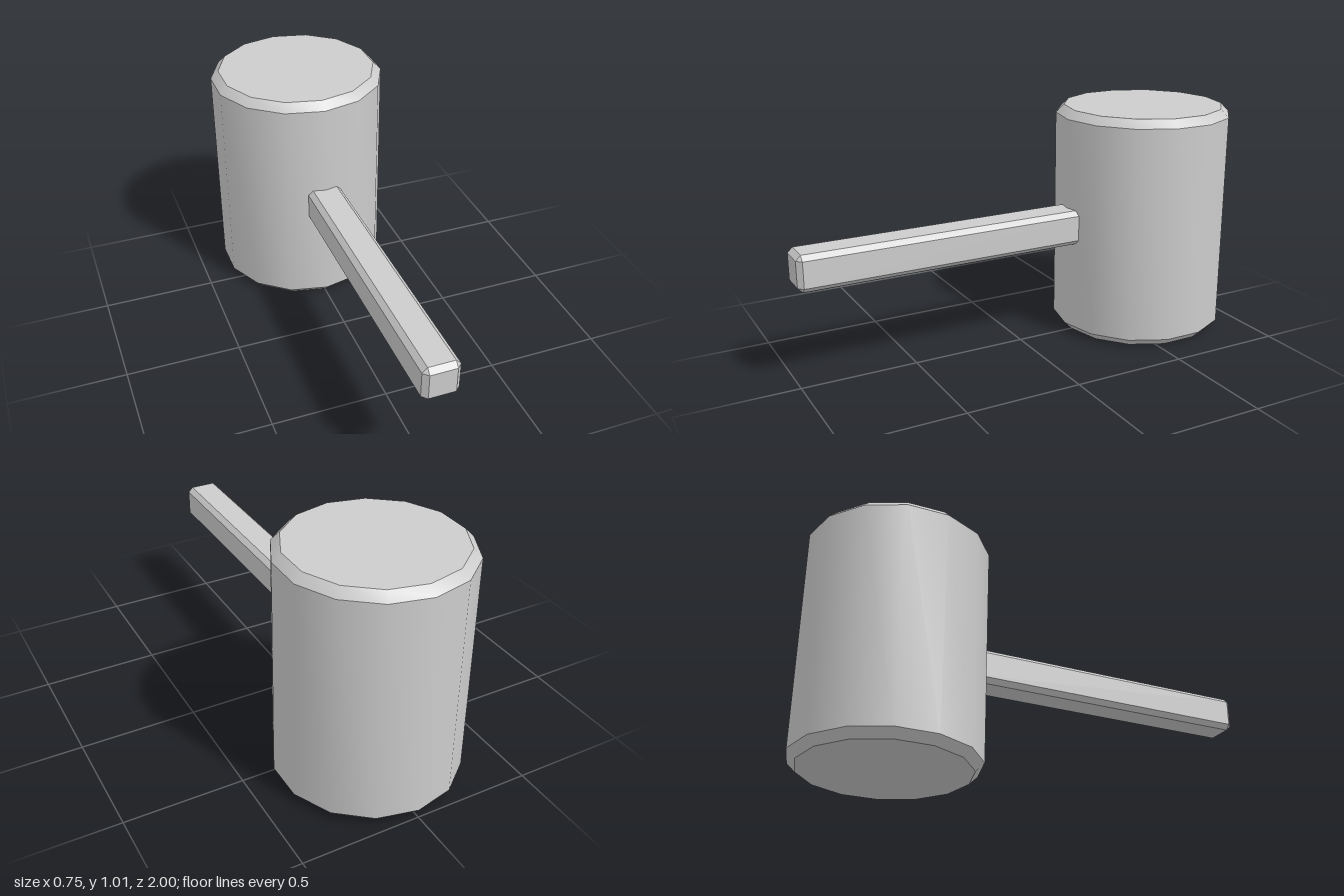
import * as THREE from 'three';
import { toCreasedNormals } from 'three/addons/utils/BufferGeometryUtils.js';
import { ConvexGeometry } from 'three/addons/geometries/ConvexGeometry.js';

// Box with every edge cut at 45 degrees, centred on the origin
function chamferedBox(w, h, d, c) {
  const points = [];
  for (const sx of [-1, 1]) for (const sy of [-1, 1]) for (const sz of [-1, 1]) {
    for (let axis = 0; axis < 3; axis++) {
      // Each corner becomes three points, one on each neighbouring face
      const inset = [0, 1, 2].map((i) => (i === axis ? 0 : c));
      points.push(new THREE.Vector3(
        sx * (w / 2 - inset[0]), sy * (h / 2 - inset[1]), sz * (d / 2 - inset[2])));
    }
  }
  return new ConvexGeometry(points);
}

export function createModel() {
  const model = new THREE.Group();
  model.name = 'mallet';

  const grey = new THREE.MeshStandardMaterial({ color: 0xcccccc });
  grey.name = 'light grey';

  // Head: fourteen-sided drum with chamfered rims
  const radius = 0.385, height = 1.01, rim = 0.035;
  const profile = [
    [0, 0], [radius - rim, 0], [radius, rim],
    [radius, height - rim], [radius - rim, height], [0, height],
  ].map(([x, y]) => new THREE.Vector2(x, y));
  const head = new THREE.Mesh(
    toCreasedNormals(new THREE.LatheGeometry(profile, 14), 0.6), grey);
  head.name = 'head';
  head.position.z = -0.615;
  model.add(head);

  // Handle: chamfered square bar set into the front of the head
  const back = -0.3, front = 1;
  const handle = new THREE.Mesh(chamferedBox(0.153, 0.153, front - back, 0.021), grey);
  handle.name = 'handle';
  handle.position.set(0, height / 2, (front + back) / 2);
  model.add(handle);

  return model;
}
